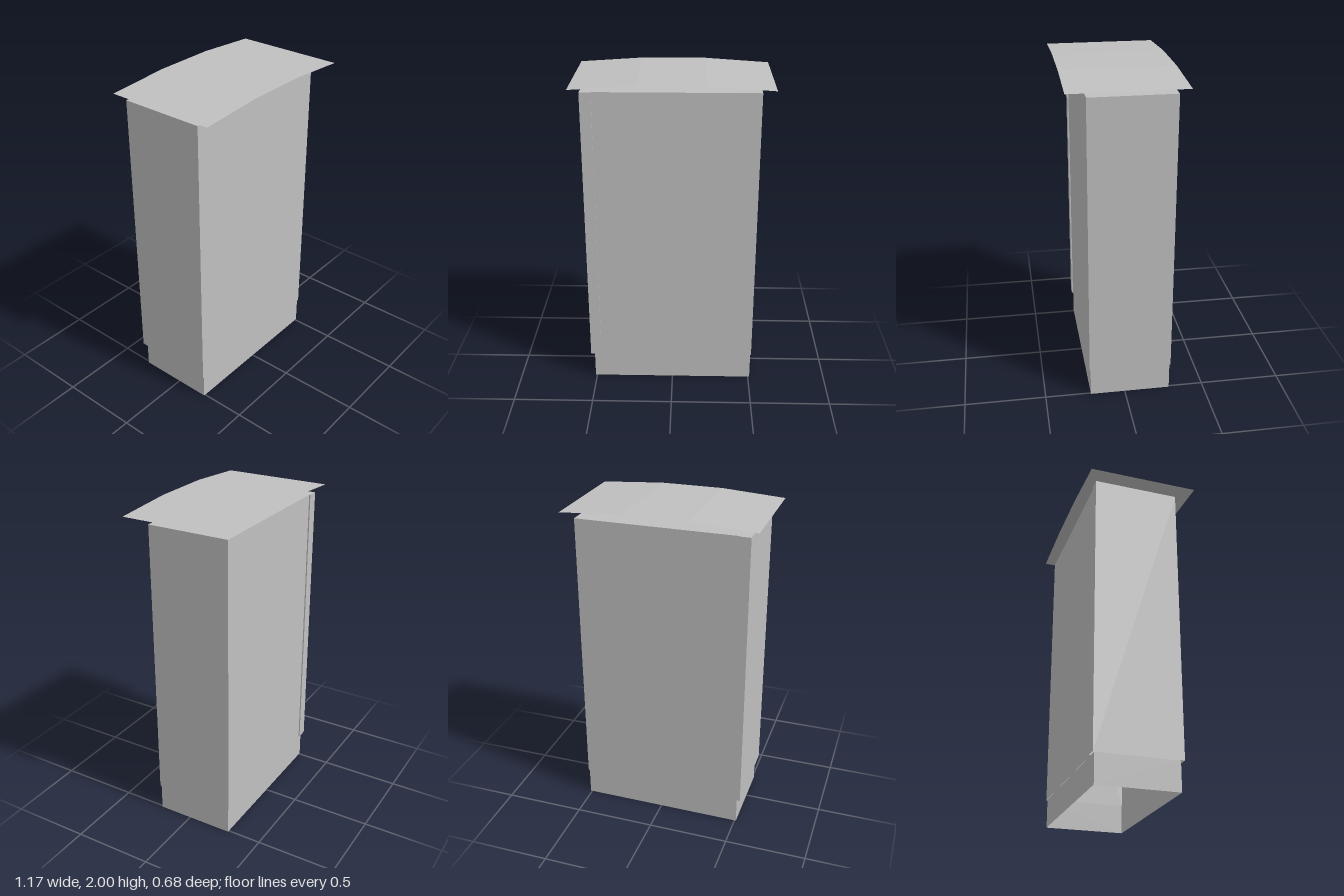
import * as THREE from 'three';

const grey = new THREE.MeshStandardMaterial({ color: 0xc0c0c0, side: THREE.DoubleSide, flatShading: true });
grey.name = 'light grey';

const BODY_Z = -0.034; // the cabinet sits slightly behind the roof centre

// Thin-walled box, open below and optionally open above
function shell(name, x0, x1, y0, y1, depth, hasTop) {
  const geo = new THREE.BoxGeometry(x1 - x0, y1 - y0, depth);
  const closed = hasTop ? [0, 1, 2, 4, 5] : [0, 1, 4, 5];
  const index = Array.from(geo.index.array);
  geo.setIndex(closed.flatMap((f) => index.slice(f * 6, f * 6 + 6)));
  geo.clearGroups();
  geo.translate((x0 + x1) / 2, (y0 + y1) / 2, BODY_Z);
  const mesh = new THREE.Mesh(geo, grey);
  mesh.name = name;
  return mesh;
}

export function createModel() {
  const model = new THREE.Group();
  model.name = 'cabinet';

  // Plinth, cabinet shell and the slightly proud end cover
  model.add(shell('plinth', -0.51, 0.51, 0, 0.18, 0.5, false));
  model.add(shell('cabinetShell', -0.465, 0.515, 0.175, 1.93, 0.512, true));
  model.add(shell('endCover', -0.533, -0.465, 0.175, 1.93, 0.528, true));

  // Roof supports
  for (const side of [-1, 1]) {
    const post = new THREE.Mesh(new THREE.BoxGeometry(0.016, 0.05, 0.016), grey);
    post.position.set(side * 0.345, 1.955, BODY_Z);
    post.name = side < 0 ? 'rightRoofPost' : 'leftRoofPost';
    model.add(post);
  }

  // Shallow arched roof sheet in three facets
  const roofGeo = new THREE.PlaneGeometry(1.17, 0.684, 3, 1);
  roofGeo.rotateX(-Math.PI / 2);
  const pos = roofGeo.attributes.position;
  for (let i = 0; i < pos.count; i++) {
    pos.setY(i, Math.abs(pos.getX(i)) > 0.4 ? 1.974 : 2);
  }
  roofGeo.computeVertexNormals();
  const roof = new THREE.Mesh(roofGeo, grey);
  roof.name = 'roof';
  model.add(roof);

  return model;
}
